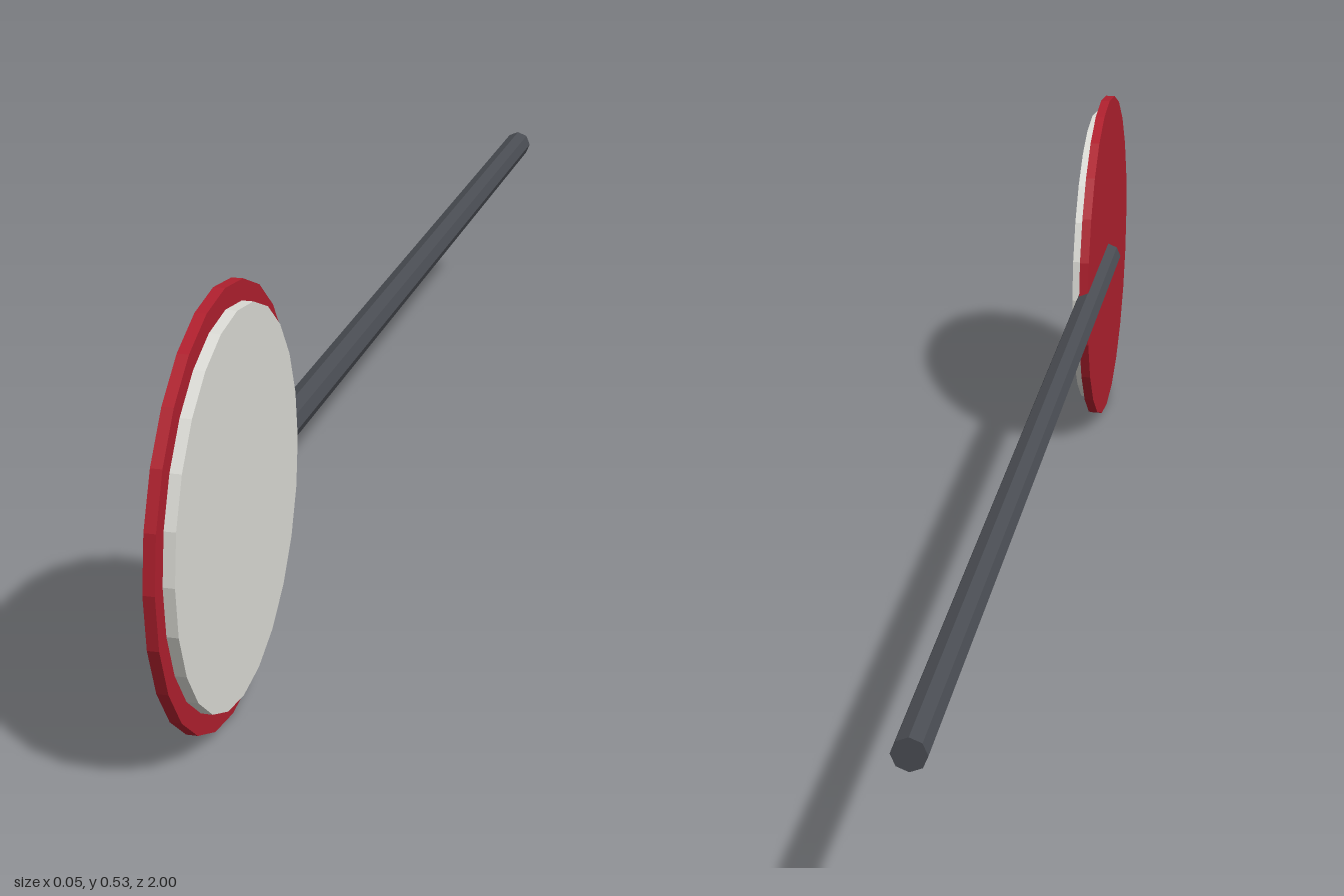
import * as THREE from 'three';

const CENTER_Y = 0.2635;
const DISC_Z = 0.7365;

function part(name, geometry, color) {
  const material = new THREE.MeshStandardMaterial({ color, flatShading: true });
  const mesh = new THREE.Mesh(geometry, material);
  mesh.name = name;
  return mesh;
}

// Thin 24-sided disc spanning x0..x1, facing sideways
function disc(name, radius, x0, x1, color) {
  const geometry = new THREE.CylinderGeometry(radius, radius, x1 - x0, 24);
  geometry.rotateZ(-Math.PI / 2);
  const mesh = part(name, geometry, color);
  mesh.position.set((x0 + x1) / 2, CENTER_Y, DISC_Z);
  return mesh;
}

export function createModel() {
  const model = new THREE.Group();
  model.name = 'signalPaddle';

  // Red backing disc with a smaller pale face on its left side
  model.add(disc('backingDisc', 0.2635, -0.004, 0.01, 0xb0202e));
  model.add(disc('faceDisc', 0.238, 0.01, 0.024, 0xdcdcd6));

  // Octagonal handle running from the disc centre to the rear
  const length = 1 + DISC_Z;
  const rod = new THREE.CylinderGeometry(0.021, 0.021, length, 8);
  rod.rotateX(Math.PI / 2);
  const handle = part('handle', rod, 0x4a4d53);
  handle.position.set(-0.0035, CENTER_Y, -1 + length / 2);
  model.add(handle);

  return model;
}
